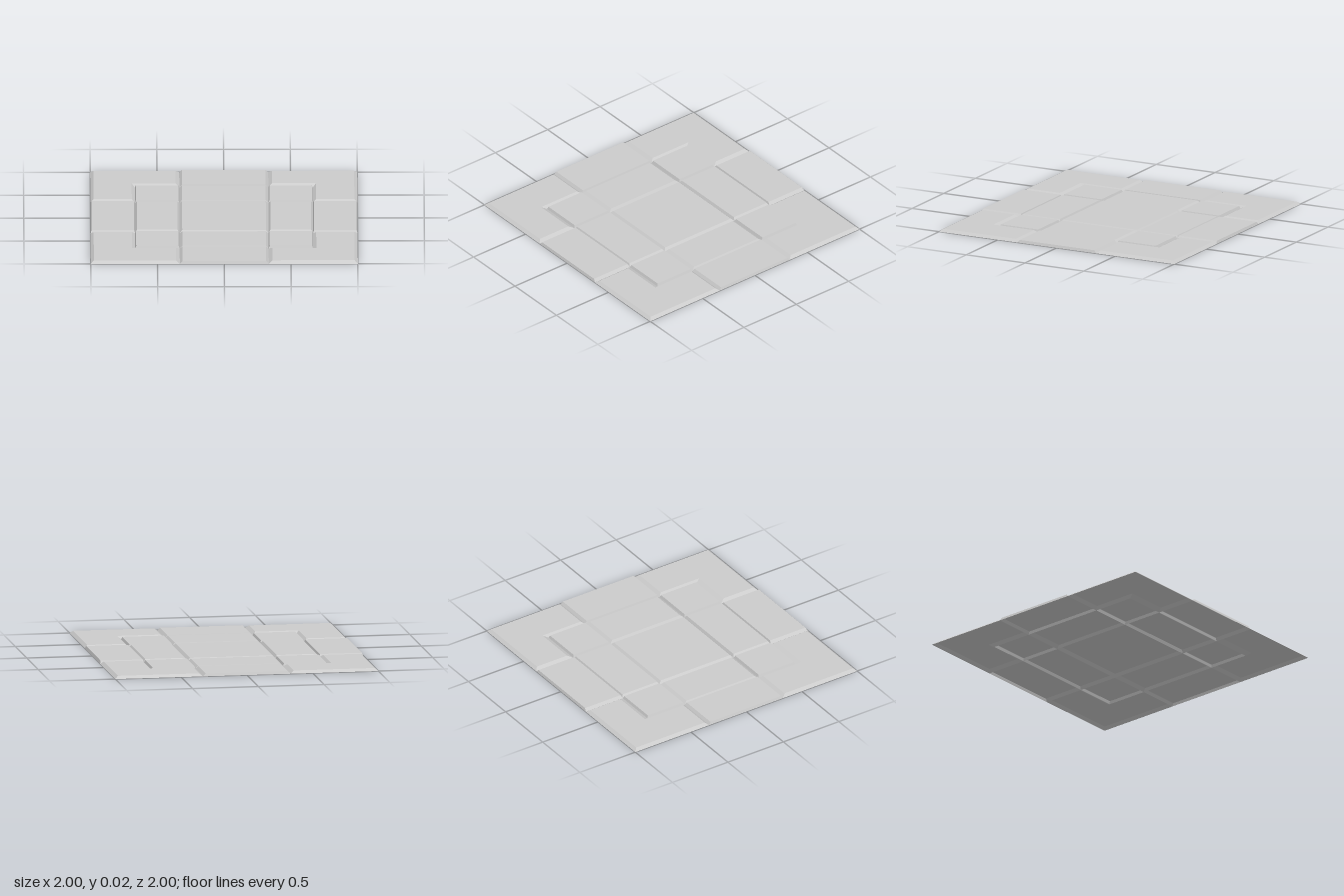
import * as THREE from 'three';

const H = 0.02; // panel height
const A = 1 / 3, B = 2 / 3; // grid lines
const material = new THREE.MeshStandardMaterial({ color: 0xcccccc, flatShading: true, side: THREE.DoubleSide });

// Bevelled panel, open underneath. Each corner is [x, z, topX, topZ].
function panel(name, corners) {
  const outline = corners.map(([x, z]) => new THREE.Vector2(x, z));
  const ring = THREE.ShapeUtils.area(outline) > 0 ? corners.slice().reverse() : corners;
  const n = ring.length;
  const pos = [], index = [];
  ring.forEach(([x, z]) => pos.push(x, 0, z));
  ring.forEach(([, , x, z]) => pos.push(x, H, z));
  // sloping sides
  for (let i = 0; i < n; i++) {
    const j = (i + 1) % n;
    index.push(i, j, n + j, i, n + j, n + i);
  }
  // flat top
  const top = ring.map(([, , x, z]) => new THREE.Vector2(x, z));
  for (const t of THREE.ShapeUtils.triangulateShape(top, [])) {
    const [a, b, c] = t.map((k) => top[k]);
    const up = (b.x - a.x) * (c.y - a.y) - (b.y - a.y) * (c.x - a.x) < 0;
    const [p, q, r] = up ? t : [t[0], t[2], t[1]];
    index.push(n + p, n + q, n + r);
  }
  const indexed = new THREE.BufferGeometry();
  indexed.setAttribute('position', new THREE.Float32BufferAttribute(pos, 3));
  indexed.setIndex(index);
  const geometry = indexed.toNonIndexed();
  geometry.computeVertexNormals();
  const mesh = new THREE.Mesh(geometry, material);
  mesh.name = name;
  return mesh;
}

// Rectangular panel with bevel widths bx and bz
function rectPanel(name, x0, x1, z0, z1, bx, bz) {
  return panel(name, [
    [x0, z0, x0 + bx, z0 + bz],
    [x1, z0, x1 - bx, z0 + bz],
    [x1, z1, x1 - bx, z1 - bz],
    [x0, z1, x0 + bx, z1 - bz],
  ]);
}

export function createModel() {
  const group = new THREE.Group();
  group.name = 'panelledFloorTile';

  group.add(rectPanel('centrePanel', -A, A, -A, A, 0.02, 0.02));

  for (const s of [-1, 1]) {
    const span = (a, b) => (s > 0 ? [a, b] : [-b, -a]);
    // panels in front of and behind the centre
    group.add(rectPanel('innerPanel', -A, A, ...span(A, B), 0.02, 0.01));
    group.add(rectPanel('edgePanel', -A, A, ...span(B, 1), 0.02, 0.007));
    // panels to the left and right of the centre
    group.add(rectPanel('innerSidePanel', ...span(A, B), -A, A, 0.015, 0.028));
    group.add(rectPanel('edgeSidePanel', ...span(B, 1), -A, A, 0.007, 0.015));
  }

  for (const sx of [-1, 1]) {
    for (const sz of [-1, 1]) {
      const mirror = ([x, z, tx, tz]) => [sx * x, sz * z, sx * tx, sz * tz];
      // small square panel
      const q = 0.008;
      group.add(panel('squarePanel', [
        [A, A, A + q, A + q],
        [B, A, B - q, A + q],
        [B, B, B - q, B - q],
        [A, B, A + q, B - q],
      ].map(mirror)));
      // L-shaped corner panel around the square
      group.add(panel('cornerPanel', [
        [B, A, 0.69, 0.36],
        [1, A, 0.977, 0.36],
        [1, 1, 0.977, 0.977],
        [A, 1, 0.36, 0.977],
        [A, B, 0.36, 0.705],
        [B, B, 0.69, 0.705],
      ].map(mirror)));
    }
  }
  return group;
}
